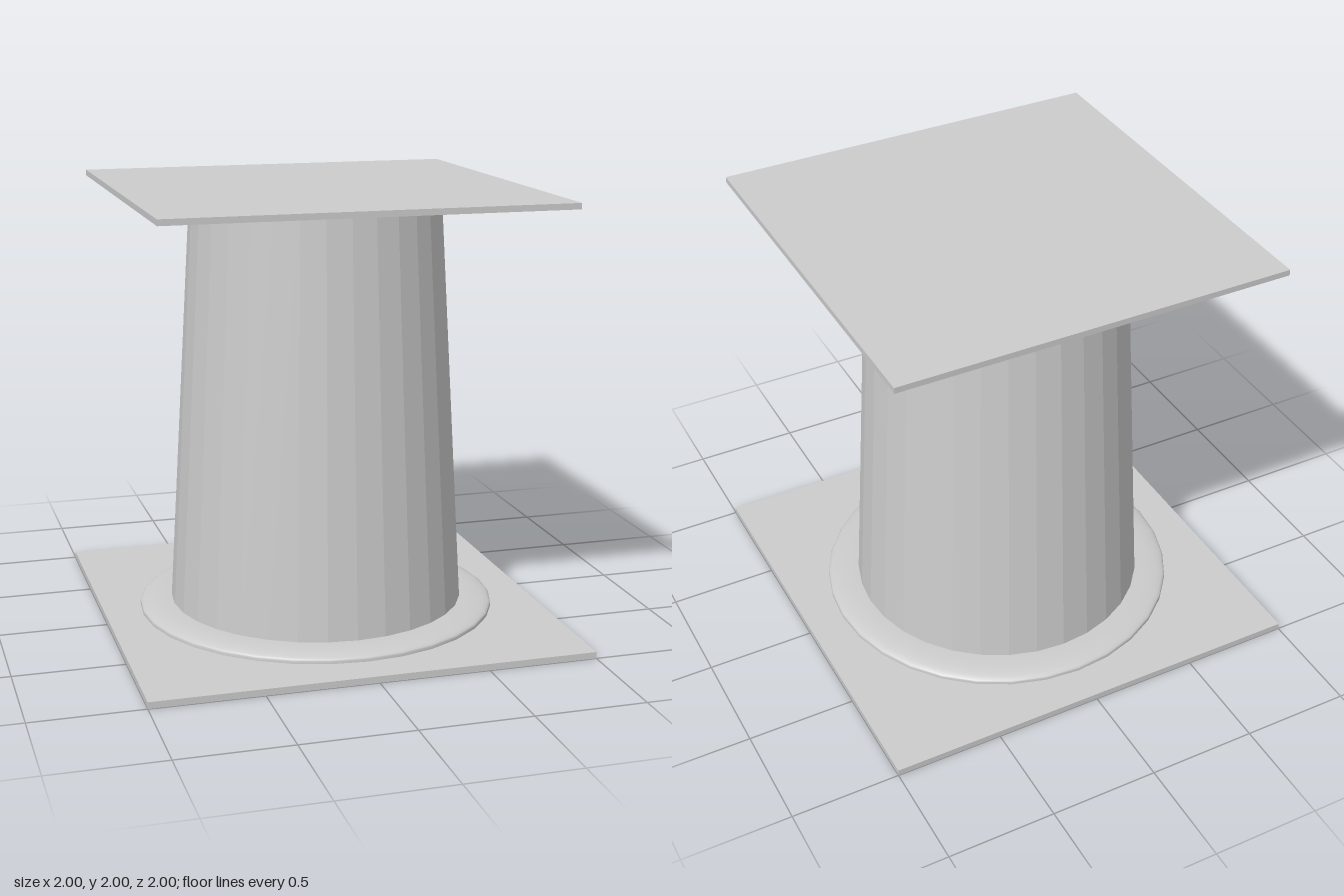
import * as THREE from 'three';

const SIDES = 32;

export function createModel() {
  const model = new THREE.Group();
  const smooth = new THREE.MeshStandardMaterial({ color: 0xcccccc });
  const faceted = new THREE.MeshStandardMaterial({ color: 0xcccccc, flatShading: true });

  function add(name, geometry, material, y) {
    const mesh = new THREE.Mesh(geometry, material);
    mesh.name = name;
    mesh.position.y = y;
    model.add(mesh);
    return mesh;
  }

  // Rounded collar: a short vertical rim curving in to the shaft
  function collar(inner, outer, height) {
    const rim = 0.012;
    const points = [new THREE.Vector2(outer, 0)];
    for (let i = 0; i <= 8; i++) {
      const a = (i / 8) * Math.PI / 2;
      points.push(new THREE.Vector2(
        inner + (outer - inner) * Math.cos(a),
        rim + (height - rim) * Math.sin(a)
      ));
    }
    points.push(new THREE.Vector2(inner - 0.02, height));
    return new THREE.LatheGeometry(points, SIDES);
  }

  // Square plates
  add('basePlate', new THREE.BoxGeometry(2, 0.03, 2), faceted, 0.015);
  add('topPlate', new THREE.BoxGeometry(1.8, 0.027, 1.8), faceted, 1.9865);

  // Tapered shaft
  add('shaft', new THREE.CylinderGeometry(0.57, 0.685, 1.94, SIDES, 1, true), faceted, 1.0);

  // Collars where the shaft meets each plate
  add('baseCollar', collar(0.68, 0.83, 0.042), smooth, 0.03);
  const top = add('topCollar', collar(0.57, 0.725, 0.038), smooth, 1.973);
  top.rotation.x = Math.PI;

  return model;
}
